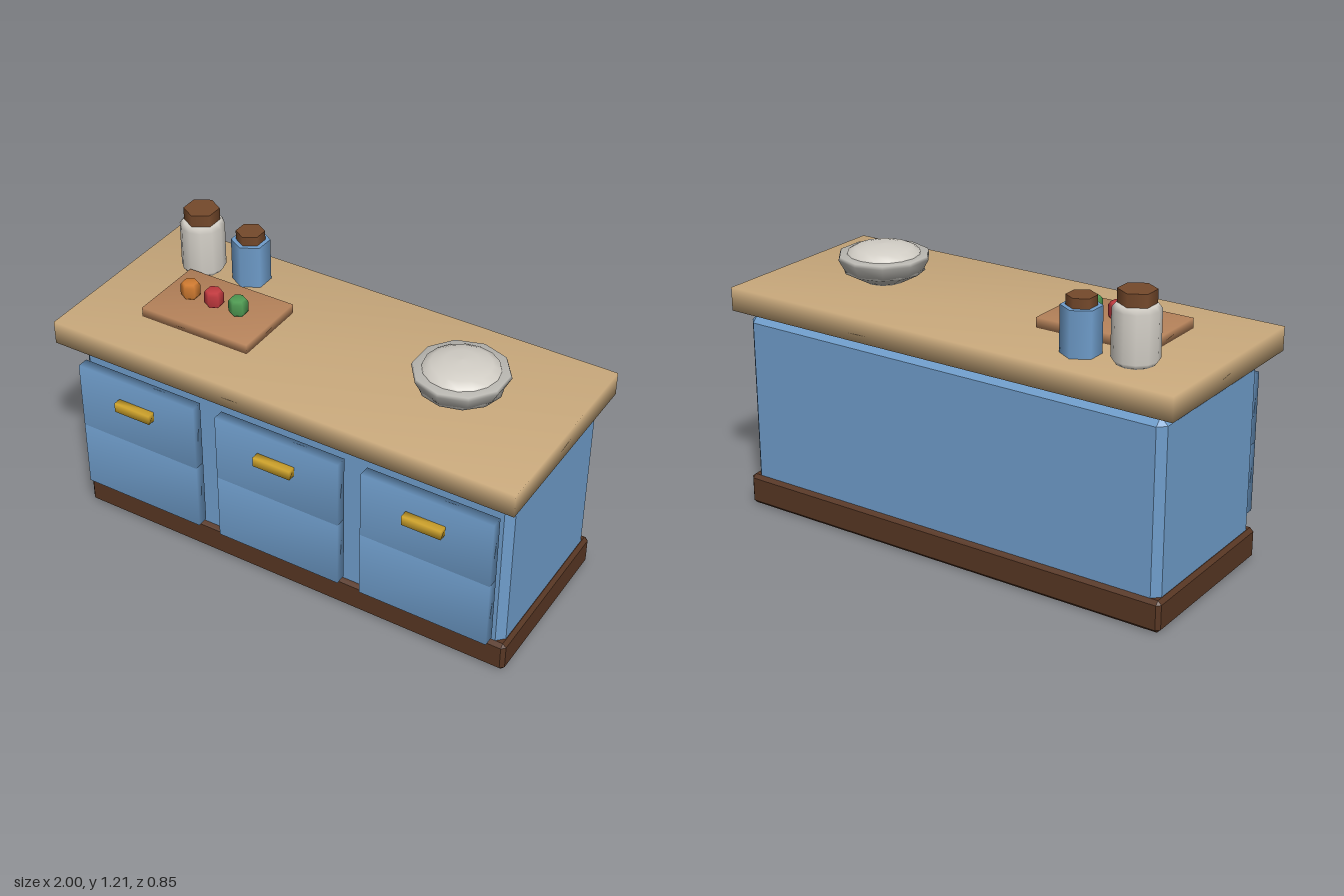
import * as THREE from 'three';
import { mergeVertices } from 'three/addons/utils/BufferGeometryUtils.js';
import { ConvexGeometry } from 'three/addons/geometries/ConvexGeometry.js';

const mat = (color) => new THREE.MeshStandardMaterial({ color });
const BLUE = mat(0x6f9dcb);
const WOOD = mat(0xc9a97c);
const PLINTH = mat(0x573623);
const LID = mat(0x75492b);
const BOARD = mat(0xb5825a);
const GOLD = mat(0xd4a72c);
const CERAMIC = mat(0xd2cec6);
const STONEWARE = mat(0xb9b7b1);

// Box given by its min and max corners, with normals shared across the corners
function softBox([x0, y0, z0], [x1, y1, z1]) {
  const g = new THREE.BoxGeometry(x1 - x0, y1 - y0, z1 - z0);
  g.translate((x0 + x1) / 2, (y0 + y1) / 2, (z0 + z1) / 2);
  g.deleteAttribute('normal');
  g.deleteAttribute('uv');
  const merged = mergeVertices(g);
  merged.computeVertexNormals();
  return merged;
}

// Box with every edge cut by a flat bevel of size b
function bevelBox([x0, y0, z0], [x1, y1, z1], b) {
  const h = [(x1 - x0) / 2, (y1 - y0) / 2, (z1 - z0) / 2];
  const points = [];
  for (const sx of [-1, 1]) for (const sy of [-1, 1]) for (const sz of [-1, 1]) {
    for (let axis = 0; axis < 3; axis++) {
      const [px, py, pz] = h.map((v, i) => (i === axis ? v : v - b));
      points.push(new THREE.Vector3(sx * px, sy * py, sz * pz));
    }
  }
  return new ConvexGeometry(points).translate((x0 + x1) / 2, (y0 + y1) / 2, (z0 + z1) / 2);
}

// Turned shape from [radius, height] pairs, listed bottom to top
const turned = (profile, sides) =>
  new THREE.LatheGeometry(profile.map(([r, y]) => new THREE.Vector2(r, y)), sides);

export function createModel() {
  const model = new THREE.Group();
  const add = (name, geometry, material, parent = model) => {
    const mesh = new THREE.Mesh(geometry, material);
    mesh.name = name;
    parent.add(mesh);
    return mesh;
  };
  const group = (name, x, y, z) => {
    const g = new THREE.Group();
    g.name = name;
    g.position.set(x, y, z);
    model.add(g);
    return g;
  };

  // Cabinet
  add('plinth', bevelBox([-0.967, 0, -0.405], [0.967, 0.13, 0.335], 0.015), PLINTH);
  add('cabinetBody', bevelBox([-0.95, 0.1, -0.39], [0.95, 0.825, 0.32], 0.03), BLUE);
  add('countertop', softBox([-1, 0.84, -0.42], [1, 0.937, 0.417]), WOOD);

  // Three bays, each a drawer above a door
  [-0.645, 0, 0.643].forEach((x) => {
    const bay = group('bay', x, 0, 0);
    add('drawerFront', softBox([-0.273, 0.455, 0.345], [0.273, 0.745, 0.392]), BLUE, bay);
    add('doorFront', softBox([-0.273, 0.165, 0.345], [0.273, 0.455, 0.392]), BLUE, bay);
    add('handle', softBox([-0.082, 0.615, 0.39], [0.082, 0.655, 0.425]), GOLD, bay);
  });

  // Cutting board with three vegetables
  add('cuttingBoard', softBox([-0.73, 0.935, -0.12], [-0.245, 0.978, 0.205]), BOARD);
  const veg = [[0, 0], [0.03, 0], [0.039, 0.012], [0.039, 0.055], [0.03, 0.067], [0, 0.067]];
  [['orangeVegetable', -0.615, 0xcf7a30], ['redVegetable', -0.504, 0xc23a3f],
    ['greenVegetable', -0.391, 0x4f9a52]].forEach(([name, x, color]) => {
    add(name, turned(veg, 6), mat(color)).position.set(x, 0.978, 0.04);
  });

  // Storage jars
  const tall = group('tallJar', -0.73, 0.937, -0.215);
  add('jarBody', turned([[0, 0], [0.075, 0], [0.09, 0.02], [0.09, 0.205], [0.075, 0.224], [0, 0.224]], 12), CERAMIC, tall);
  add('jarLid', new THREE.CylinderGeometry(0.072, 0.072, 0.052, 6).translate(0, 0.249, 0), LID, tall);
  const small = group('smallJar', -0.52, 0.937, -0.245);
  add('jarBody', new THREE.CylinderGeometry(0.078, 0.078, 0.182, 6).translate(0, 0.091, 0), BLUE, small);
  add('jarLid', new THREE.CylinderGeometry(0.058, 0.058, 0.04, 6).translate(0, 0.201, 0), LID, small);

  // Bowl: flared foot, wide rim and a low domed filling
  const bowl = group('bowl', 0.56, 0.937, 0);
  add('bowlFoot', turned([[0, 0], [0.08, 0], [0.165, 0.047], [0.14, 0.06]], 12), STONEWARE, bowl);
  add('bowlRim', turned([[0.13, 0.048], [0.16, 0.05], [0.187, 0.1], [0.182, 0.113], [0.135, 0.116]], 10), STONEWARE, bowl);
  add('bowlFilling', turned([[0.15, 0.105], [0.145, 0.122], [0.115, 0.138], [0.065, 0.15], [0, 0.153]], 16), CERAMIC, bowl);

  return model;
}
